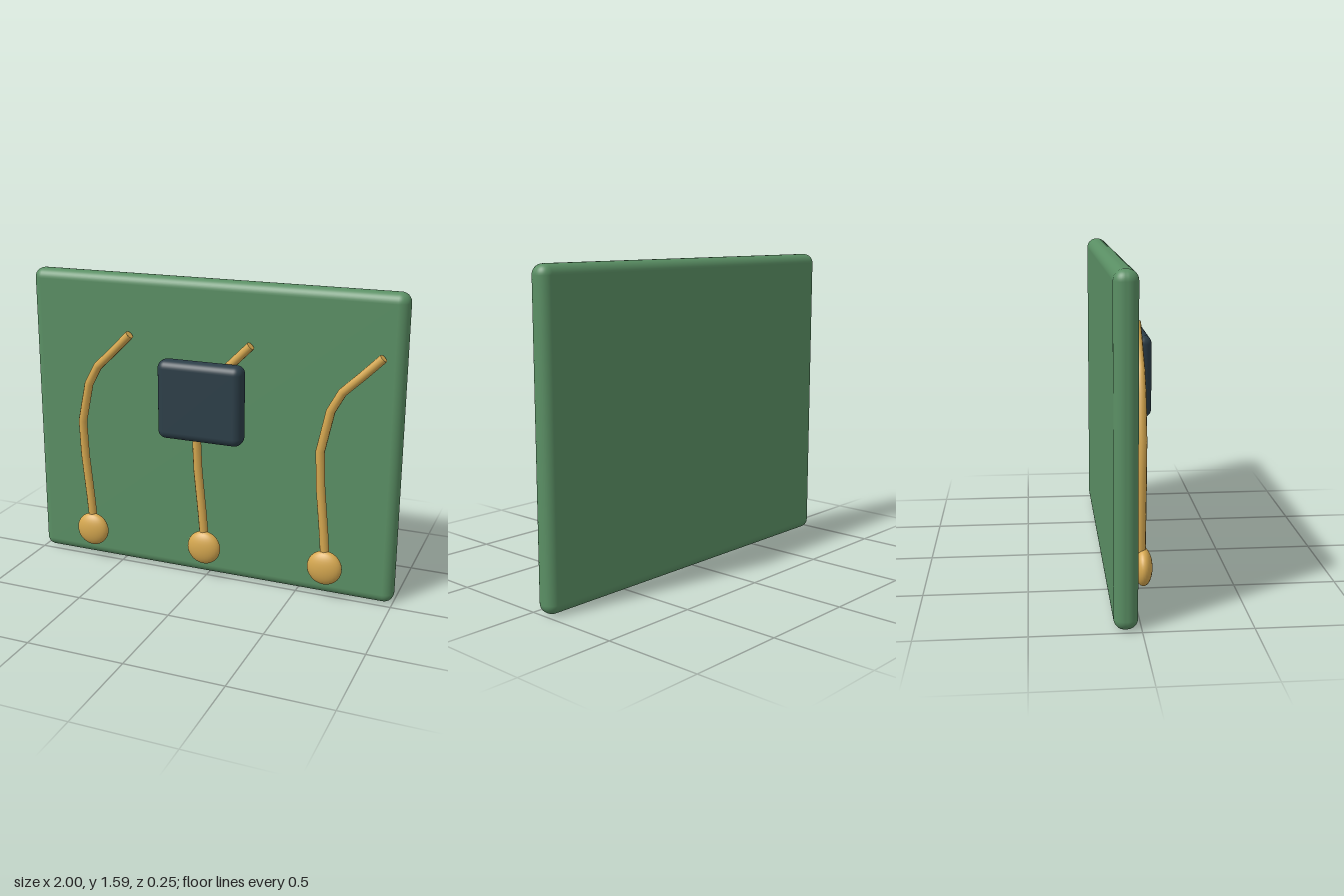
import * as THREE from 'three';
import { RoundedBoxGeometry } from 'three/addons/geometries/RoundedBoxGeometry.js';

const green = new THREE.MeshStandardMaterial({ name: 'board green', color: 0x5a8f64 });
const gold = new THREE.MeshStandardMaterial({ name: 'trace gold', color: 0xd6a850 });
const slate = new THREE.MeshStandardMaterial({ name: 'chip slate', color: 0x2c3e48 });

function addMesh(parent, name, geometry, material, x, y, z) {
  const mesh = new THREE.Mesh(geometry, material);
  mesh.name = name;
  mesh.position.set(x, y, z);
  parent.add(mesh);
  return mesh;
}

export function createModel() {
  const model = new THREE.Group();
  model.name = 'circuitBoard';

  // Upright slab and the raised chip
  addMesh(model, 'board', new RoundedBoxGeometry(2, 1.585, 0.11, 5, 0.05), green, 0, 0.7925, -0.07);
  addMesh(model, 'chip', new RoundedBoxGeometry(0.456, 0.412, 0.104, 5, 0.042), slate, 0, 0.984, 0.073);

  // Bent wire path, with one ring of vertices at each point
  const path = [[0, 0.2], [-0.012, 0.35], [-0.037, 0.6], [-0.045, 0.79], [0, 1.0], [0.055, 1.1], [0.15, 1.19], [0.245, 1.285]];
  const curve = new THREE.CatmullRomCurve3(path.map(([x, y]) => new THREE.Vector3(x, y, 0)), false, 'catmullrom');
  curve.getPointAt = curve.getPoint;
  curve.getTangentAt = curve.getTangent;
  const wire = new THREE.TubeGeometry(curve, path.length - 1, 0.023, 10, false);
  const cap = new THREE.CircleGeometry(0.023, 10);
  const tip = curve.getPoint(1);
  const tipDirection = curve.getTangent(1);
  const bead = new THREE.SphereGeometry(0.091, 28, 18);

  // Three identical traces, each with a flattened round pad
  for (const x of [-0.66, 0, 0.66]) {
    const trace = new THREE.Group();
    trace.name = 'trace';
    trace.position.x = x;
    addMesh(trace, 'wire', wire, gold, 0, 0, 0.026);
    const end = addMesh(trace, 'wireEnd', cap, gold, tip.x, tip.y, 0.026);
    end.quaternion.setFromUnitVectors(new THREE.Vector3(0, 0, 1), tipDirection);
    addMesh(trace, 'pad', bead, gold, 0, 0.175, 0.036).scale.z = 0.49;
    model.add(trace);
  }
  return model;
}
